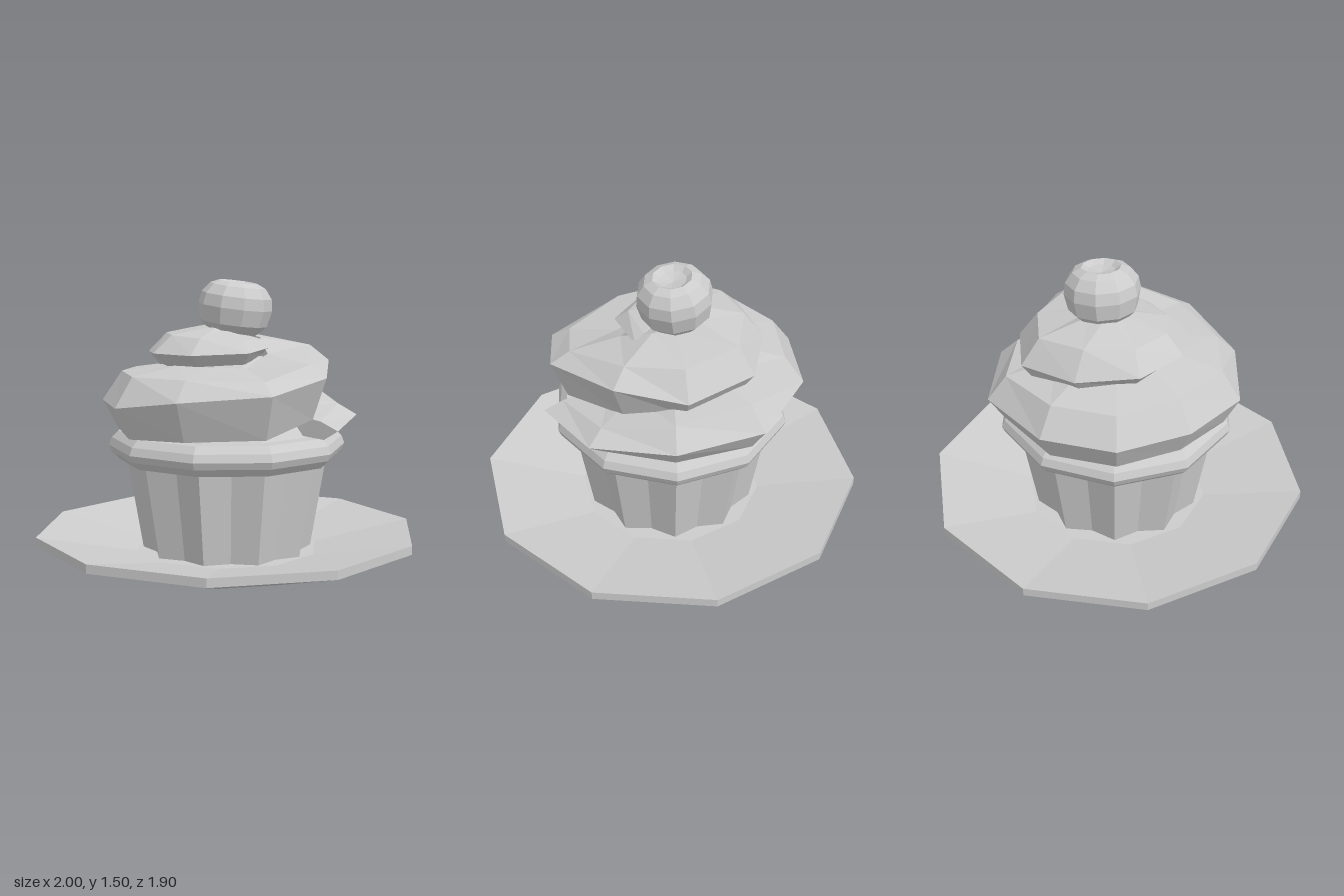
import * as THREE from 'three';

const SIDES = 10;
const DEG = Math.PI / 180;

const material = new THREE.MeshStandardMaterial({ color: 0xcccccc, flatShading: true, side: THREE.DoubleSide });

function addPart(group, name, geometry) {
  const mesh = new THREE.Mesh(geometry, material);
  mesh.name = name;
  group.add(mesh);
  return mesh;
}

// Ten-sided turned form; profile runs as [radius, y] from bottom to top
function turned(profile, startDeg) {
  const points = profile.map(([r, y]) => new THREE.Vector2(r, y));
  return new THREE.LatheGeometry(points, SIDES, startDeg * DEG);
}

// Pleated paper cup: alternate corners pulled inwards
function pleatedCup() {
  const geometry = new THREE.CylinderGeometry(0.525, 0.435, 0.53, SIDES * 2, 1, true, 8 * DEG);
  const p = geometry.attributes.position;
  for (let i = 0; i < p.count; i++) {
    const corner = i % (SIDES * 2 + 1);
    const k = corner % 2 ? 0.88 : 1;
    p.setXYZ(i, p.getX(i) * k, p.getY(i) + 0.335, p.getZ(i) * k);
  }
  return geometry;
}

// Swirl: five-sided section carried along the rising, narrowing ridge.
// Each stop is [x, z, ridge y, rise to upper edge, drop to lower edge].
const SWIRL = [
  [0.06, 0.67, 0.77, 0.04, 0.05], [0.44, 0.51, 0.80, 0.06, 0.07],
  [0.64, 0.12, 0.84, 0.10, 0.11], [0.60, -0.33, 0.86, 0.12, 0.13],
  [0.27, -0.63, 0.88, 0.14, 0.15], [-0.11, -0.67, 0.88, 0.14, 0.15],
  [-0.44, -0.47, 0.88, 0.15, 0.15], [-0.65, -0.16, 0.88, 0.15, 0.16],
  [-0.59, 0.20, 0.93, 0.10, 0.20], [-0.31, 0.56, 0.965, 0.06, 0.22],
  [0.03, 0.62, 1.03, 0.06, 0.21], [0.38, 0.37, 1.08, 0.08, 0.20],
  [0.51, 0.03, 1.03, 0.14, 0.12], [0.42, -0.32, 1.08, 0.13, 0.12],
  [0.13, -0.45, 1.10, 0.13, 0.11], [-0.18, -0.39, 1.12, 0.10, 0.09],
  [-0.36, -0.18, 1.13, 0.09, 0.07], [-0.34, 0.06, 1.13, 0.08, 0.06],
  [-0.13, 0.26, 1.14, 0.06, 0.06], [0.14, 0.21, 1.16, 0.03, 0.04],
];

function swirlGeometry() {
  const positions = [];
  const index = [];
  const n = 5;
  SWIRL.forEach(([x, z, y, rise, drop]) => {
    const r = Math.hypot(x, z);
    const inner = Math.max(r - 0.36, 0.03);
    const edge = Math.min(0.1, r * 0.25);
    const section = [
      [r, y], [r - edge, y + rise], [inner, y + rise + 0.04],
      [inner, y - drop + 0.02], [r - edge * 0.8, y - drop],
    ];
    section.forEach(([s, h]) => positions.push((x / r) * s, h, (z / r) * s));
  });
  for (let j = 0; j < SWIRL.length - 1; j++) {
    for (let i = 0; i < n; i++) {
      const a = j * n + i, b = j * n + ((i + 1) % n);
      index.push(a, a + n, b, b, a + n, b + n);
    }
  }
  // Close both ends
  const last = (SWIRL.length - 1) * n;
  for (let i = 1; i < n - 1; i++) {
    index.push(0, i, i + 1, last, last + i + 1, last + i);
  }
  const geometry = new THREE.BufferGeometry();
  geometry.setAttribute('position', new THREE.Float32BufferAttribute(positions, 3));
  geometry.setIndex(index);
  geometry.computeVertexNormals();
  return geometry;
}

export function createModel() {
  const model = new THREE.Group();
  model.name = 'cupcakeOnPlate';

  // Shallow dished plate
  addPart(model, 'plate', turned(
    [[0, 0], [0.485, 0], [1, 0.15], [1, 0.195], [0.48, 0.1], [0, 0.1]], 18));

  addPart(model, 'paperCup', pleatedCup());

  // Cake rim bulging over the cup
  addPart(model, 'cakeRim', turned(
    [[0, 0.57], [0.56, 0.57], [0.6, 0.61], [0.615, 0.645], [0.6, 0.685], [0.565, 0.72], [0, 0.72]], 8));

  // Frosting: hidden core plus swirl
  const frosting = new THREE.Group();
  frosting.name = 'frosting';
  addPart(frosting, 'frostingCore', turned([[0.5, 0.7], [0.4, 0.82], [0.27, 1.02], [0.12, 1.2], [0, 1.22]], 8));
  addPart(frosting, 'frostingSwirl', swirlGeometry());
  model.add(frosting);

  // Cherry with a dimpled top, leaning slightly
  const cherry = addPart(model, 'cherry', turned(
    [[0, -0.14], [0.12, -0.14], [0.175, -0.085], [0.193, 0], [0.183, 0.06],
      [0.145, 0.11], [0.1, 0.13], [0.07, 0.11], [0, 0.095]], 0));
  cherry.position.set(0.07, 1.355, -0.005);
  cherry.rotation.set(0.11, 0, -0.06);

  return model;
}
